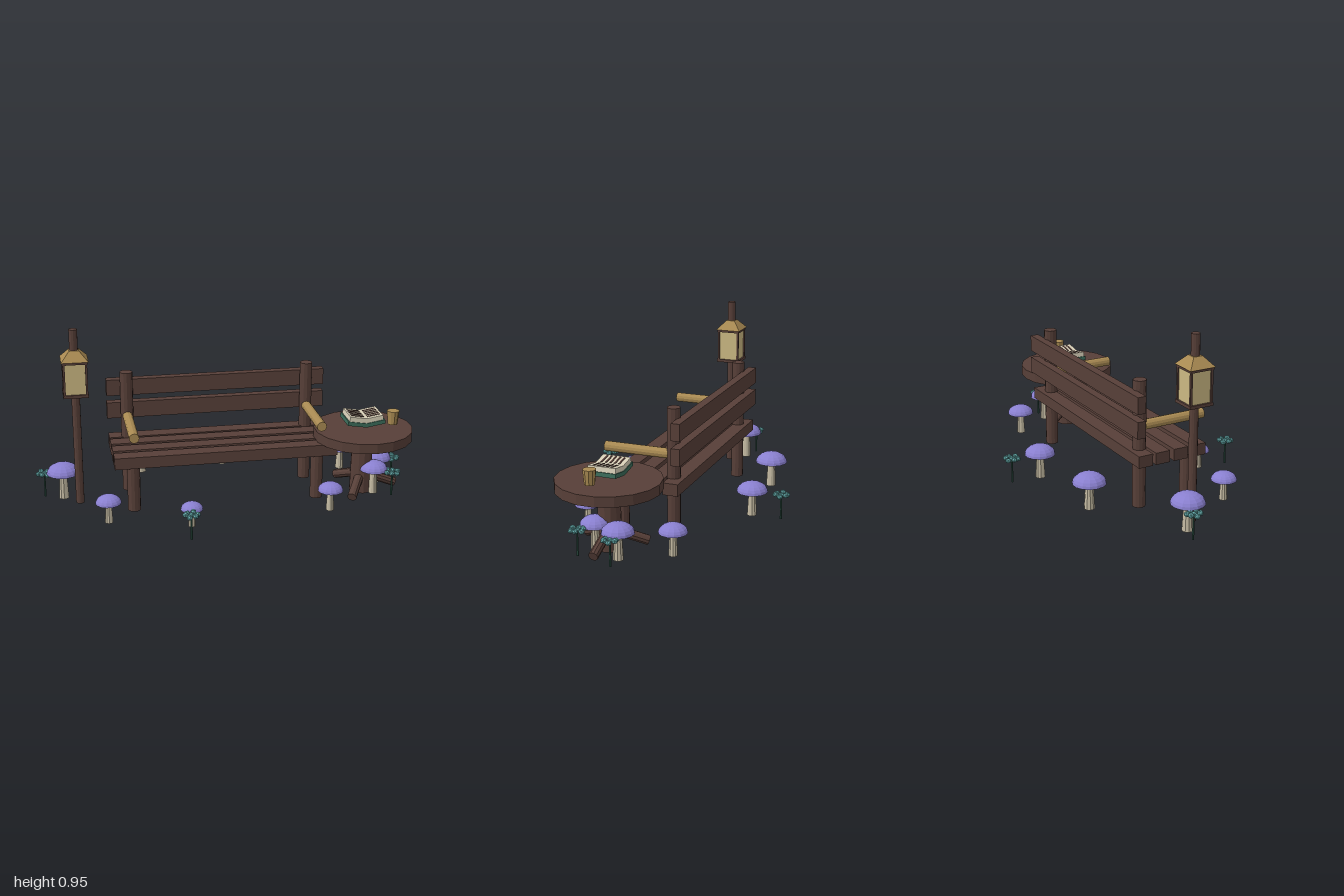
import * as THREE from 'three';

const mat = (name, color, extra = {}) => {
  const m = new THREE.MeshStandardMaterial({ color, flatShading: true, ...extra });
  m.name = name;
  return m;
};

export function createModel() {
  const wood = mat('darkWood', 0x573f38);
  const tan = mat('honeyWood', 0xa98a52);
  const glass = mat('lanternGlass', 0xcbb882);
  const purple = mat('mushroomCap', 0x8a80d0, { side: THREE.DoubleSide });
  const cream = mat('mushroomStem', 0xc4baa2);
  const paper = mat('paper', 0xd8d0b8);
  const teal = mat('petals', 0x62a8a8);
  const green = mat('bookCover', 0x3a6a58);
  const stalk = mat('flowerStalk', 0x2f5548);

  const model = new THREE.Group();
  const group = (name, x = 0, y = 0, z = 0, parent = model) => {
    const g = new THREE.Group();
    g.name = name;
    g.position.set(x, y, z);
    parent.add(g);
    return g;
  };
  const add = (parent, name, geo, material, x = 0, y = 0, z = 0) => {
    const m = new THREE.Mesh(geo, material);
    m.name = name;
    m.position.set(x, y, z);
    parent.add(m);
    return m;
  };
  const box = (p, name, m, w, h, d, x, y, z) => add(p, name, new THREE.BoxGeometry(w, h, d), m, x, y, z);
  // upright cylinder standing on y0
  const post = (p, name, m, rTop, rBot, h, x, y0, z, sides = 12) =>
    add(p, name, new THREE.CylinderGeometry(rTop, rBot, h, sides), m, x, y0 + h / 2, z);

  // Bench
  const bench = group('bench');
  for (const x of [-0.51, 0.47]) {
    post(bench, 'backPost', wood, 0.034, 0.034, 0.67, x, 0, -0.127);
    post(bench, 'frontLeg', wood, 0.034, 0.034, 0.26, x, 0, 0.152);
    const arm = post(bench, 'armrest', tan, 0.026, 0.026, 0.342, x, 0, 0);
    arm.rotation.x = Math.PI / 2;
    arm.position.set(x, 0.43, 0.069);
  }
  for (const z of [-0.146, -0.049, 0.055, 0.16])
    box(bench, 'seatSlat', wood, 1.18, 0.062, 0.08, -0.02, 0.279, z);
  for (const y of [0.448, 0.575])
    box(bench, 'backSlat', wood, 1.19, 0.088, 0.046, -0.02, y, -0.175);

  // Round table with three splayed feet
  const table = group('table', 0.733, 0, 0.105);
  post(table, 'tableTop', wood, 0.265, 0.265, 0.053, 0, 0.31, 0, 18);
  post(table, 'pedestal', wood, 0.055, 0.062, 0.31, 0, 0, 0);
  for (let i = 0; i < 3; i++) {
    const a = (i * Math.PI * 2) / 3;
    const from = new THREE.Vector3(0, 0.105, 0);
    const to = new THREE.Vector3(Math.cos(a) * 0.19, 0.03, Math.sin(a) * 0.19);
    const foot = add(table, 'foot', new THREE.CylinderGeometry(0.025, 0.025, from.distanceTo(to), 10), wood);
    foot.position.lerpVectors(from, to, 0.5);
    foot.quaternion.setFromUnitVectors(new THREE.Vector3(0, 1, 0), to.clone().sub(from).normalize());
  }

  // Open book: two halves hinged at the spine
  const book = group('book', 0.732, 0.384, 0.1);
  for (const s of [-1, 1]) {
    const half = group('bookHalf', 0, 0, 0, book);
    half.rotation.z = s * 0.16;
    box(half, 'cover', green, 0.105, 0.022, 0.155, s * 0.0525, 0.012, 0);
    box(half, 'pages', paper, 0.096, 0.026, 0.146, s * 0.05, 0.036, 0);
    for (let i = 0; i < 5; i++)
      box(half, 'printedLine', wood, 0.07, 0.003, 0.009, s * 0.052, 0.05, -0.046 + i * 0.023);
  }

  // Cup
  post(model, 'cup', tan, 0.033, 0.026, 0.075, 0.89, 0.38, 0.13, 10);

  // Lantern on a pole
  const lantern = group('lantern', -0.785, 0, 0.01);
  post(lantern, 'pole', wood, 0.022, 0.022, 0.955, 0, 0, 0);
  box(lantern, 'base', wood, 0.13, 0.016, 0.13, 0, 0.614, 0);
  box(lantern, 'glass', glass, 0.11, 0.17, 0.11, 0, 0.705, 0);
  box(lantern, 'topPlate', wood, 0.13, 0.014, 0.13, 0, 0.791, 0);
  for (const x of [-1, 1]) for (const z of [-1, 1])
    box(lantern, 'cornerBar', wood, 0.011, 0.17, 0.011, x * 0.057, 0.705, z * 0.057);
  const roof = post(lantern, 'roof', tan, 0.025 * Math.SQRT2, 0.07 * Math.SQRT2, 0.05, 0, 0.797, 0, 4);
  roof.rotation.y = Math.PI / 4;

  // Mushrooms: x, z, cap radius, total height
  const mushrooms = [
    [-0.42, -0.36, 0.087, 0.195], [0.056, -0.402, 0.082, 0.184],
    [-0.867, -0.066, 0.087, 0.2], [-0.655, 0.287, 0.067, 0.152],
    [-0.243, 0.405, 0.058, 0.132], [0.5, 0.335, 0.067, 0.154],
    [0.703, -0.215, 0.073, 0.166], [0.787, 0.157, 0.076, 0.184],
    [0.845, 0.01, 0.082, 0.19],
  ];
  for (const [x, z, r, h] of mushrooms) {
    const m = group('mushroom', x, 0, z);
    const capH = r * 0.66;
    post(m, 'stem', cream, r * 0.22, r * 0.32, h - capH * 0.6, 0, 0, 0, 10);
    const cap = add(m, 'cap', new THREE.SphereGeometry(r, 14, 6, 0, Math.PI * 2, 0, Math.PI / 2), purple, 0, h - capH, 0);
    cap.scale.y = 0.66;
  }

  // Small clustered flowers
  const flowers = [[0.062, -0.562], [-0.965, -0.097], [-0.268, 0.56], [0.875, 0.21], [0.935, 0.01]];
  flowers.forEach(([x, z], n) => {
    const f = group('flower', x, 0, z);
    post(f, 'stalk', stalk, 0.005, 0.006, 0.125, 0, 0, 0, 6);
    for (let i = 0; i < 7; i++) {
      const a = (i * Math.PI) / 3 + n;
      const d = i === 6 ? 0 : 0.031;
      const petal = add(f, 'petal', new THREE.IcosahedronGeometry(0.017, 0), teal,
        Math.cos(a) * d, 0.132 + (i % 2) * 0.005, Math.sin(a) * d);
      petal.scale.y = 0.85;
      petal.rotation.y = a;
    }
  });

  return model;
}
